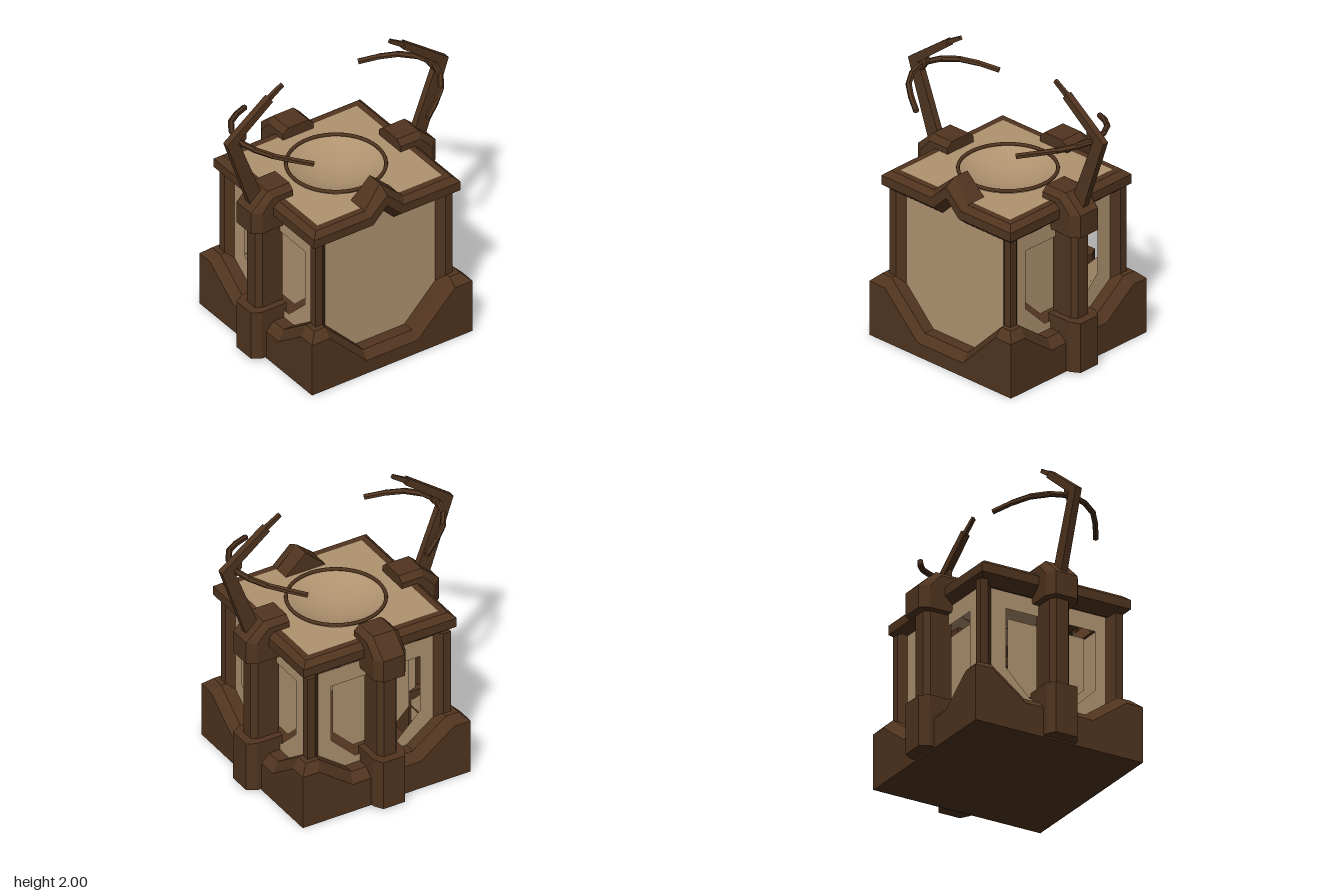
import * as THREE from 'three';
import { ConvexGeometry } from 'three/addons/geometries/ConvexGeometry.js';

const brown = new THREE.MeshStandardMaterial({ color: 0x50341f, side: THREE.DoubleSide });
brown.name = 'dark wood';
const tan = new THREE.MeshStandardMaterial({ color: 0xb09370, side: THREE.DoubleSide });
tan.name = 'tan panel';

function add(parent, name, geometry, material) {
  const mesh = new THREE.Mesh(geometry, material);
  mesh.name = name;
  parent.add(mesh);
  return mesh;
}

// Faceted strip through rows of { d: depth, p: [[u, y, own depth if any], ...] }
function loft(rows) {
  const pos = [];
  const put = (r, i) => {
    const [u, y, d = rows[r].d] = rows[r].p[i];
    pos.push(u, y, d);
  };
  for (let r = 0; r < rows.length - 1; r++) {
    for (let i = 0; i < rows[r].p.length - 1; i++) {
      put(r, i); put(r, i + 1); put(r + 1, i + 1);
      put(r, i); put(r + 1, i + 1); put(r + 1, i);
    }
  }
  const g = new THREE.BufferGeometry();
  g.setAttribute('position', new THREE.Float32BufferAttribute(pos, 3));
  g.computeVertexNormals();
  return g;
}

const hull = (pts) => new ConvexGeometry(pts.map((p) => new THREE.Vector3(...p)));

// Mirror a half outline (listed from the outside to the middle) across u = 0
const mirror = (half) => [
  ...half.map(([u, ...rest]) => [-u, ...rest]),
  ...half.filter(([u]) => u > 0).reverse(),
];

const shapeOf = (pts) => new THREE.Shape(pts.map((p) => new THREE.Vector2(...p)));

// Block with chamfered outer edges: profiles are [depth, y] lists
function chamfered(outer, inset, back, halfOuter, halfInset) {
  const pts = [];
  for (const s of [-1, 1]) {
    outer.forEach(([d, y]) => pts.push([s * halfOuter, y, d]));
    [...inset, ...back].forEach(([d, y]) => pts.push([s * halfInset, y, d]));
  }
  return hull(pts);
}

// Plinth wall that dips in the middle and has a bevelled top edge
function plinth(front) {
  const outer = front ? [[0.627, 0.39], [0.49, 0.39], [0.2, 0.1]] : [[0.627, 0.39], [0.505, 0.39], [0.255, 0.207]];
  const inner = front ? [[0.57, 0.445], [0.487, 0.445], [0.19, 0.15]] : [[0.57, 0.445], [0.475, 0.445], [0.23, 0.265]];
  const o = mirror(outer), n = mirror(inner);
  return loft([
    { d: 0.627, p: o.map(([u]) => [u, 0]) },
    { d: 0.627, p: o },
    { d: 0.57, p: n },
    { d: 0.48, p: n.map(([u, y]) => [Math.sign(u) * Math.min(Math.abs(u), 0.48), y]) },
  ]);
}

// Roof edge; it rises into a gable at the front and overhangs less at the back
const BACK_CUT = 0.026;
function roofTrim(name) {
  const front = name === 'front';
  const backEnd = { left: 1, right: -1 }[name] ?? 0;
  const row = (d, y, ...gable) => ({
    d: name === 'back' ? d - BACK_CUT : d,
    p: mirror(front ? [[d, y], ...gable] : [[d, y]])
      .map(([u, ...rest]) => [u - (u * backEnd > 0 ? backEnd * BACK_CUT : 0), ...rest]),
  });
  return loft([
    row(0.47, 1.03, [0.1, 1.03], [0, 1.13]),
    row(0.5, 1.03, [0.1, 1.03], [0, 1.13]),
    row(0.572, 1.09, [0.11, 1.09], [0, 1.2]),
    row(0.572, 1.155, [0.13, 1.155], [0, 1.28]),
    row(0.53, 1.19, [0.15, 1.19], [0, 1.325, 0.49]),
    row(0.485, 1.19, [0.15, 1.19], [0, 1.19]),
  ]);
}

function wallPanel(front, shift) {
  if (front) {
    return new THREE.ShapeGeometry(shapeOf(
      [[-0.48, 0.1], [0.48, 0.1], [0.48, 1.04], [0.1, 1.04], [0, 1.14], [-0.1, 1.04], [-0.48, 1.04]]));
  }
  const wall = shapeOf([[-0.48, 0.15], [0.48, 0.15], [0.48, 1.04], [-0.48, 1.04]]);
  wall.holes.push(shapeOf(mirror([[0.333, 0.912], [0.333, 0.495], [0.155, 0.32]]).map(([u, y]) => [u + shift, y])));
  return new THREE.ShapeGeometry(wall);
}

// Buttress: foot, shaft and bent cap hooked over the roof
function buttress(parent) {
  const g = new THREE.Group();
  g.name = 'buttress';
  add(g, 'buttressFoot', chamfered([[0.72, 0.01], [0.72, 0.365]], [[0.66, 0.01], [0.66, 0.37]],
    [[0.47, 0.01], [0.47, 0.37]], 0.08, 0.118), brown);
  add(g, 'buttressShaft', chamfered([[0.665, 0.3], [0.665, 1.05]], [[0.627, 0.3], [0.627, 1.05]],
    [[0.47, 0.3], [0.47, 1.05]], 0.045, 0.073), brown);
  add(g, 'buttressCap', chamfered([[0.72, 0.985], [0.72, 1.145], [0.59, 1.265], [0.42, 1.265]],
    [[0.66, 0.985], [0.66, 1.135], [0.575, 1.228], [0.42, 1.228]],
    [[0.42, 1.15], [0.5, 0.985]], 0.08, 0.12), brown);
  parent.add(g);
}

// Bent arm with a thin tip and a curved crossbar
function arm() {
  const g = new THREE.Group();
  g.name = 'arm';
  const slab = (pts, w) => new THREE.ExtrudeGeometry(shapeOf(pts), { depth: w, bevelEnabled: false }).translate(0, 0, -w / 2);
  add(g, 'armBeam', slab([[0.68, 1.15], [0.865, 1.695], [0.535, 1.94], [0.507, 1.9],
    [0.775, 1.69], [0.605, 1.25], [0.6, 1.15]], 0.046), brown);
  add(g, 'armTip', slab([[0.55, 1.925], [0.425, 1.998], [0.413, 1.975], [0.535, 1.89]], 0.022), brown);
  add(g, 'armBracket', slab([[0.8, 1.72], [0.71, 1.745], [0.71, 1.69], [0.77, 1.61]], 0.03), brown);
  const half = [[0.447, 1.597, 0.383], [0.56, 1.631, 0.312], [0.655, 1.656, 0.235], [0.725, 1.672, 0.13], [0.755, 1.677, 0.03]];
  const pts = [...half.map(([x, y, z]) => [x, y, -z]), ...half.reverse()].map((p) => new THREE.Vector3(...p));
  for (let i = 0; i < pts.length - 1; i++) {
    const dir = pts[i + 1].clone().sub(pts[i]);
    const rod = new THREE.CylinderGeometry(0.02, 0.02, dir.length() + 0.008, 6).toNonIndexed();
    rod.computeVertexNormals();
    const bar = add(g, 'crossbar', rod, brown);
    bar.position.copy(pts[i]).addScaledVector(dir, 0.5);
    bar.quaternion.setFromUnitVectors(new THREE.Vector3(0, 1, 0), dir.normalize());
  }
  return g;
}

export function createModel() {
  const model = new THREE.Group();
  model.name = 'shrine';
  const body = new THREE.Group();
  body.name = 'body';
  body.position.z = 0.045;
  model.add(body);

  add(body, 'floor', new THREE.BoxGeometry(1.25, 0.02, 1.25).translate(0, 0.01, 0), brown);

  // Four sides; the front is closed, the others carry a window and a buttress
  ['front', 'left', 'back', 'right'].forEach((name, k) => {
    const side = new THREE.Group();
    side.name = name + 'Side';
    side.rotation.y = k * Math.PI / 2;
    const front = k === 0;
    const shift = { left: -0.018, right: 0.018 }[name] ?? 0;
    add(side, 'plinth', plinth(front), brown);
    add(side, 'roofTrim', roofTrim(name), brown);
    add(side, 'wallPanel', wallPanel(front, shift).translate(0, 0, 0.49), tan);
    // Corner pillar with bevelled inner edges
    const section = [[0.535, 0.535], [0.535, 0.48], [0.49, 0.43], [0.44, 0.44], [0.43, 0.49], [0.48, 0.535]];
    add(side, 'cornerPillar', hull(section.flatMap(([x, z]) => [[x, 0.1, z], [x, 1.06, z]])), brown);
    if (!front) {
      // Pane set back behind the window opening
      const pane = shapeOf(mirror([[0.287, 0.875], [0.287, 0.51], [0.135, 0.36]]));
      add(side, 'windowPane', new THREE.ShapeGeometry(pane).translate(shift, 0, 0.43), tan);
      buttress(side);
    }
    body.add(side);
  });

  // Gable ridge behind the front trim
  add(body, 'gableRidge', hull([[0.375, 0.375], [0.53, 0.49]].flatMap(([base, top]) => [
    [-0.15, 1.185, base], [0.15, 1.185, base], [0, 1.325, top]])), brown);

  // Roof plate with a round opening, a dish and its rim
  const roof = shapeOf([[-0.49, -0.49], [0.49, -0.49], [0.49, 0.465], [-0.49, 0.465]]);
  roof.holes.push(new THREE.Path().absarc(0, 0, 0.32, 0, Math.PI * 2, true));
  add(body, 'roofPlate', new THREE.ShapeGeometry(roof, 32).rotateX(-Math.PI / 2).translate(0, 1.187, 0), tan);
  const depth = 0.085, r = 0.32, R = (r * r + depth * depth) / (2 * depth), span = Math.asin(r / R);
  const profile = [];
  for (let i = 0; i <= 10; i++) {
    const a = span * i / 10;
    profile.push(new THREE.Vector2(R * Math.sin(a), 1.19 - depth + R * (1 - Math.cos(a))));
  }
  add(body, 'dish', new THREE.LatheGeometry(profile, 48), tan);
  add(body, 'dishRim', new THREE.TorusGeometry(0.32, 0.012, 8, 48).rotateX(Math.PI / 2).translate(0, 1.203, 0), brown);

  // Pair of arms
  for (const turn of [0, Math.PI]) {
    const a = arm();
    a.rotation.y = turn;
    body.add(a);
  }
  return model;
}
